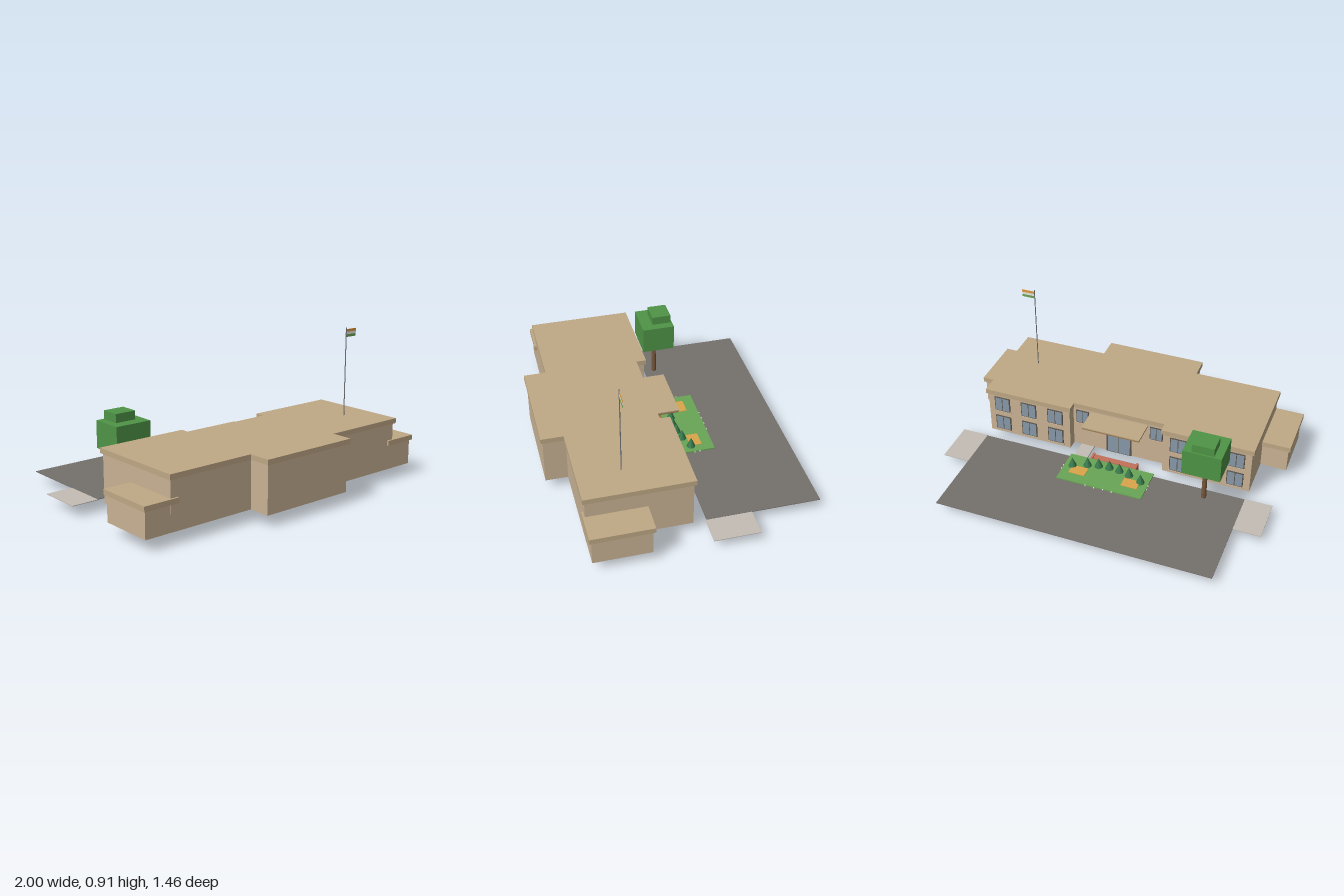
import * as THREE from 'three';

const mat = (color) => new THREE.MeshStandardMaterial({ color, flatShading: true });
const wall = mat(0xc9b294), roof = mat(0xbfa885), asphalt = mat(0x75706c), paving = mat(0xc4bdb4);
const brick = mat(0xc27258), brickDark = mat(0x8e4630), glass = mat(0x8799a8), frame = mat(0x5c564f);
const lawnGreen = mat(0x6aa556), leaf = mat(0x4f9446), shrub = mat(0x37784a), bark = mat(0x76573c);
const flower = mat(0xd9a54a), white = mat(0xe8e8e4), metal = mat(0x77797c), saffron = mat(0xe09a3c);
const fascia = mat(0xa07c54);

export function createModel() {
  const model = new THREE.Group();

  const add = (name, geometry, material, x = 0, y = 0, z = 0, parent = model) => {
    const mesh = new THREE.Mesh(geometry, material);
    mesh.name = name;
    mesh.position.set(x, y, z);
    parent.add(mesh);
    return mesh;
  };
  // Box given by its extents on each axis
  const box = (name, material, [x0, x1], [y0, y1], [z0, z1], parent = model) =>
    add(name, new THREE.BoxGeometry(x1 - x0, y1 - y0, z1 - z0), material,
      (x0 + x1) / 2, (y0 + y1) / 2, (z0 + z1) / 2, parent);
  const group = (name) => {
    const g = new THREE.Group();
    g.name = name;
    model.add(g);
    return g;
  };

  // Main block: footprint with an entrance recess and a bay on the opposite side
  const footprint = (name, material, o, bottom, top, recessHalf) => {
    const half = [[recessHalf, 0.06 - o], [recessHalf, -o], [0.83 + o, -o], [0.83 + o, 0.59 + o],
      [0.297 + o, 0.59 + o], [0.297 + o, 0.72 + o]];
    const points = [...half, ...half.map(([x, z]) => [-x, z]).reverse()];
    const shape = new THREE.Shape(points.map(([x, z]) => new THREE.Vector2(x, z)));
    const geo = new THREE.ExtrudeGeometry(shape, { depth: top - bottom, bevelEnabled: false });
    geo.rotateX(Math.PI / 2);
    add(name, geo, material, 0, top, 0);
  };
  footprint('mainWalls', wall, 0, 0.07, 0.35, 0.295);
  footprint('mainRoof', roof, 0.012, 0.35, 0.38, 0.285);

  // Low side wings
  for (const s of [-1, 1]) {
    const span = (a, b) => (s > 0 ? [a, b] : [-b, -a]);
    box('wingWalls', wall, span(0.83, 0.988), [0.07, 0.22], [0.262, 0.589]);
    box('wingRoof', roof, span(0.785, 1), [0.22, 0.25], [0.25, 0.602]);
    box('sidePaving', paving, span(0.825, 0.988), [0.065, 0.069], [-0.335, -0.07]);
  }

  // Windows: frame, two panes
  const windows = group('windows');
  const addWindow = (x, y, z, w, h) => {
    box('windowFrame', frame, [x - w / 2, x + w / 2], [y - h / 2, y + h / 2], [z - 0.006, z + 0.004], windows);
    for (const s of [-1, 1]) {
      const c = x + s * w * 0.235, p = w * 0.21;
      box('windowPane', glass, [c - p, c + p], [y - h / 2 + 0.005, y + h / 2 - 0.005], [z - 0.008, z], windows);
    }
    box('windowSill', wall, [x - w / 2 - 0.006, x + w / 2 + 0.006], [y - h / 2 - 0.006, y - h / 2], [z - 0.01, z], windows);
  };
  for (const s of [-1, 1]) {
    for (const x of [0.39, 0.565, 0.74])
      for (const y of [0.143, 0.283]) addWindow(s * x, y, 0, 0.1, 0.1);
    addWindow(s * 0.235, 0.283, 0.06, 0.08, 0.09);
  }

  // Entrance door
  box('doorFrame', frame, [-0.08, 0.08], [0.07, 0.22], [0.054, 0.064]);
  for (const s of [-1, 1])
    box('doorLeaf', glass, [s * 0.037 - 0.034, s * 0.037 + 0.034], [0.075, 0.213], [0.052, 0.06]);

  // Entrance canopy with small downlights
  box('canopy', fascia, [-0.177, 0.177], [0.315, 0.327], [-0.09, 0.065]);
  box('canopyTop', roof, [-0.18, 0.18], [0.327, 0.333], [-0.095, 0.065]);
  for (let i = 0; i < 7; i++)
    add('canopyLight', new THREE.CylinderGeometry(0.004, 0.004, 0.005, 8), white, -0.15 + i * 0.05, 0.3125, -0.075);

  // Entrance stairs between brick cheeks, falling away from the building
  const stairs = group('entranceStairs');
  for (const s of [-1, 1])
    box('stairCheek', brick, [s * 0.139 - 0.007, s * 0.139 + 0.007], [0, 0.072], [-0.16, 0.005], stairs);
  for (let i = 0; i < 4; i++) {
    const y = 0.065 - i * 0.014;
    const z = -i * 0.04;
    box('stairTread', brick, [-0.132, 0.132], [y - 0.009, y], [z - 0.04, z], stairs);
    box('stairRiser', brickDark, [-0.132, 0.132], [y - 0.014, y - 0.009], [z - 0.038, z], stairs);
  }

  // Access ramp
  box('ramp', paving, [0.17, 0.253], [0.047, 0.056], [-0.12, 0.21]);

  // Road and planted lawn
  box('road', asphalt, [-0.825, 0.825], [0.066, 0.07], [-0.733, -0.075]);
  box('lawn', lawnGreen, [-0.265, 0.265], [0.07, 0.078], [-0.292, -0.06]);
  for (const s of [-1, 1])
    box('flowerBed', flower, [s * 0.165 - 0.05, s * 0.165 + 0.05], [0.078, 0.081], [-0.226, -0.156]);
  const shrubs = [[0, -0.105], [0.066, -0.111], [0.132, -0.127], [0.215, -0.16]];
  for (const [x, z] of shrubs)
    for (const s of x ? [-1, 1] : [1])
      add('shrub', new THREE.ConeGeometry(0.027, 0.064, 10), shrub, s * x, 0.108, z);

  // Small kerb markers round the lawn
  for (const x of [-0.085, -0.03, 0.025, 0.08])
    box('kerbMarker', white, [x - 0.003, x + 0.003], [0.07, 0.077], [-0.298, -0.292]);
  for (const s of [-1, 1])
    for (const z of [-0.17, -0.2])
      box('kerbMarker', white, [s * 0.268 - 0.003, s * 0.268 + 0.003], [0.07, 0.077], [z - 0.003, z + 0.003]);

  // Tree with a blocky crown
  const tree = group('tree');
  add('treeTrunk', new THREE.CylinderGeometry(0.013, 0.015, 0.235, 10), bark, -0.597, 0.187, -0.138, tree);
  box('treeCrown', leaf, [-0.71, -0.483], [0.302, 0.463], [-0.24, -0.043], tree);
  box('treeTop', leaf, [-0.664, -0.534], [0.463, 0.514], [-0.23, -0.115], tree);

  // Flagpole and three-striped flag
  add('flagPole', new THREE.CylinderGeometry(0.003, 0.003, 0.53, 8), metal, 0.657, 0.645, 0.355);
  [lawnGreen, white, saffron].forEach((m, i) =>
    box('flagStripe', m, [0.659, 0.738], [0.854 + i * 0.0155, 0.8695 + i * 0.0155], [0.354, 0.356]));

  return model;
}
